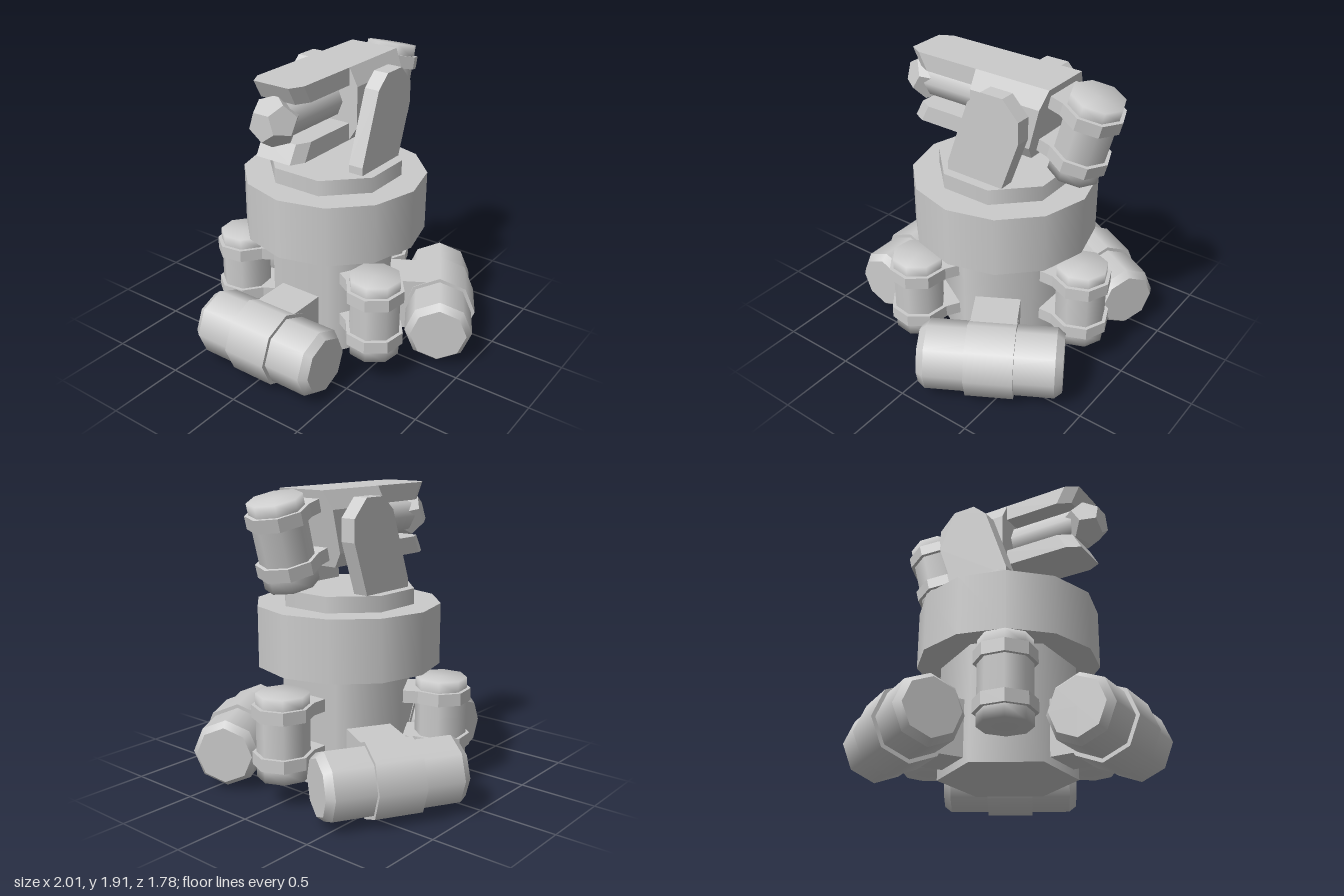
import * as THREE from 'three';

const AXIS_Z = -0.06; // the base and turret turn about this line
const grey = new THREE.MeshStandardMaterial({ color: 0xcccccc });

function add(parent, name, geometry) {
  const mesh = new THREE.Mesh(geometry, grey);
  mesh.name = name;
  parent.add(mesh);
  return mesh;
}

function group(parent, name) {
  const g = new THREE.Group();
  g.name = name;
  parent.add(g);
  return g;
}

// Solid of revolution; a repeated profile point makes a sharp rim.
function turned(profile, sides, phase = 0) {
  const pts = profile.map(([r, y]) => new THREE.Vector2(r, y));
  const g = new THREE.LatheGeometry(pts, sides, phase);
  g.normalizeNormals();
  return g;
}

// Plain closed drum with sharp rims.
function drum(r, y0, y1, sides, phase) {
  return turned([[0, y0], [r, y0], [r, y0], [r, y1], [r, y1], [0, y1]], sides, phase);
}

function extruded(points, depth) {
  const shape = new THREE.Shape(points.map(([x, y]) => new THREE.Vector2(x, y)));
  return new THREE.ExtrudeGeometry(shape, { depth, bevelEnabled: false });
}

// Move each vertex by a rule, then refresh the normals.
function reshape(geometry, rule) {
  const p = geometry.attributes.position;
  const v = new THREE.Vector3();
  for (let i = 0; i < p.count; i++) {
    rule(v.fromBufferAttribute(p, i));
    p.setXYZ(i, v.x, v.y, v.z);
  }
  geometry.computeVertexNormals();
  return geometry;
}

// Upright canister with two clamps reaching inwards to -z.
function makeCanister(parent, name) {
  const g = group(parent, name);
  const r = 0.165, h = 0.265;
  add(g, 'canisterBody', turned(
    [[0, -h], [r, -h], [r, -0.19], [r, 0.19], [r, h], [0, h]], 8));
  const outline = [];
  for (let i = -3; i <= 3; i++) {
    const a = i * Math.PI / 4;
    outline.push([0.19 * Math.sin(a), 0.19 * Math.cos(a)]);
  }
  outline.push([0.134, -0.23], [-0.134, -0.23]);
  for (const y of [-0.145, 0.155]) {
    const clamp = extruded(outline, 0.08).rotateX(Math.PI / 2);
    add(g, 'canisterClamp', clamp).position.y = y + 0.04;
  }
  return g;
}

// Lying tank with bevelled ends, a wide band and a bracket to the column.
function makeTank(parent) {
  const g = group(parent, 'tankUnit');
  const tank = group(g, 'tank');
  tank.position.set(0, 0.25, 0.71);
  tank.rotation.z = -Math.PI / 2;
  const e = 0.18, r = 0.217;
  add(tank, 'tankBody', turned([
    [0, -0.447], [e, -0.447], [e, -0.447], [r, -0.4], [r, -0.4],
    [r, 0.4], [r, 0.4], [e, 0.447], [e, 0.447], [0, 0.447]], 8));
  add(tank, 'tankBand', drum(0.242, -0.15, 0.15, 8));
  add(g, 'tankBracket', new THREE.BoxGeometry(0.29, 0.36, 0.36))
    .position.set(0, 0.278, 0.53);
  return g;
}

export function createModel() {
  const model = new THREE.Group();
  model.name = 'turret';

  // Base: column, drum and collar
  const base = group(model, 'base');
  base.position.z = AXIS_Z;
  add(base, 'column', drum(0.435, 0.05, 0.8, 6, Math.PI / 6));
  add(base, 'turretDrum', drum(0.592, 0.795, 1.185, 12));
  add(base, 'collar', drum(0.433, 1.17, 1.285, 8, Math.PI / 8));

  // Three tanks with three canisters between them
  for (let i = 0; i < 3; i++) {
    const a = i * 2 * Math.PI / 3;
    makeTank(base).rotation.y = a;
    const b = a + Math.PI / 3;
    const canister = makeCanister(base, 'canister');
    canister.position.set(0.606 * Math.sin(b), 0.445, 0.606 * Math.cos(b));
    canister.rotation.y = b;
  }

  // Support arms, drawn as (-z, y) and extruded across x
  const arm = [[-0.125, 1.27], [0.275, 1.27], [0.395, 1.61], [0.395, 1.75],
    [0.285, 1.865], [0.13, 1.865], [0.035, 1.78], [-0.125, 1.335]];
  for (const side of [-1, 1]) {
    const g = extruded(arm, 0.1).rotateY(Math.PI / 2);
    add(model, side > 0 ? 'leftArm' : 'rightArm', g).position.x = side * 0.288 - 0.05;
  }

  // Housing with chamfered edges and a slanted rear
  const head = group(model, 'gunHead');
  const section = [[-0.17, 1.45], [0.17, 1.45], [0.228, 1.54], [0.228, 1.8],
    [0.17, 1.91], [-0.17, 1.91], [-0.228, 1.8], [-0.228, 1.54]];
  add(head, 'housing', reshape(extruded(section, 1), v => {
    v.z = v.z > 0.5 ? 0.03 : -0.375 - (v.y - 1.45) * 0.24;
  }));

  // Upper and lower plates, their noses sloping in towards the barrel
  const plate = [[-0.17, -0.02], [0.17, -0.02], [0.17, 0.47], [0.125, 0.555],
    [-0.125, 0.555], [-0.17, 0.47]];
  for (const [name, y, inner] of [['upperPlate', 1.91, 1.8], ['lowerPlate', 1.45, 1.56]]) {
    const g = extruded(plate, 0.11).rotateX(Math.PI / 2);
    g.translate(0, Math.max(y, inner), 0);
    add(head, name, reshape(g, v => {
      if (v.z > 0.3 && Math.abs(v.y - inner) < 0.01) v.z -= 0.06;
    }));
  }

  // Barrel and faceted muzzle
  const barrel = add(head, 'barrel', drum(0.12, 0, 0.54, 8));
  barrel.rotation.x = Math.PI / 2;
  barrel.position.set(0, 1.685, 0);
  const muzzle = new THREE.DodecahedronGeometry(0.153)
    .rotateY(-Math.atan(0.618)).rotateZ(-Math.PI / 2);
  add(head, 'muzzle', muzzle).position.set(0, 1.685, 0.528);

  // Canister clamped to the slanted rear
  const rear = makeCanister(head, 'rearCanister');
  rear.position.set(0, 1.615, -0.635);
  rear.rotation.set(-0.26, Math.PI, 0);

  return model;
}
